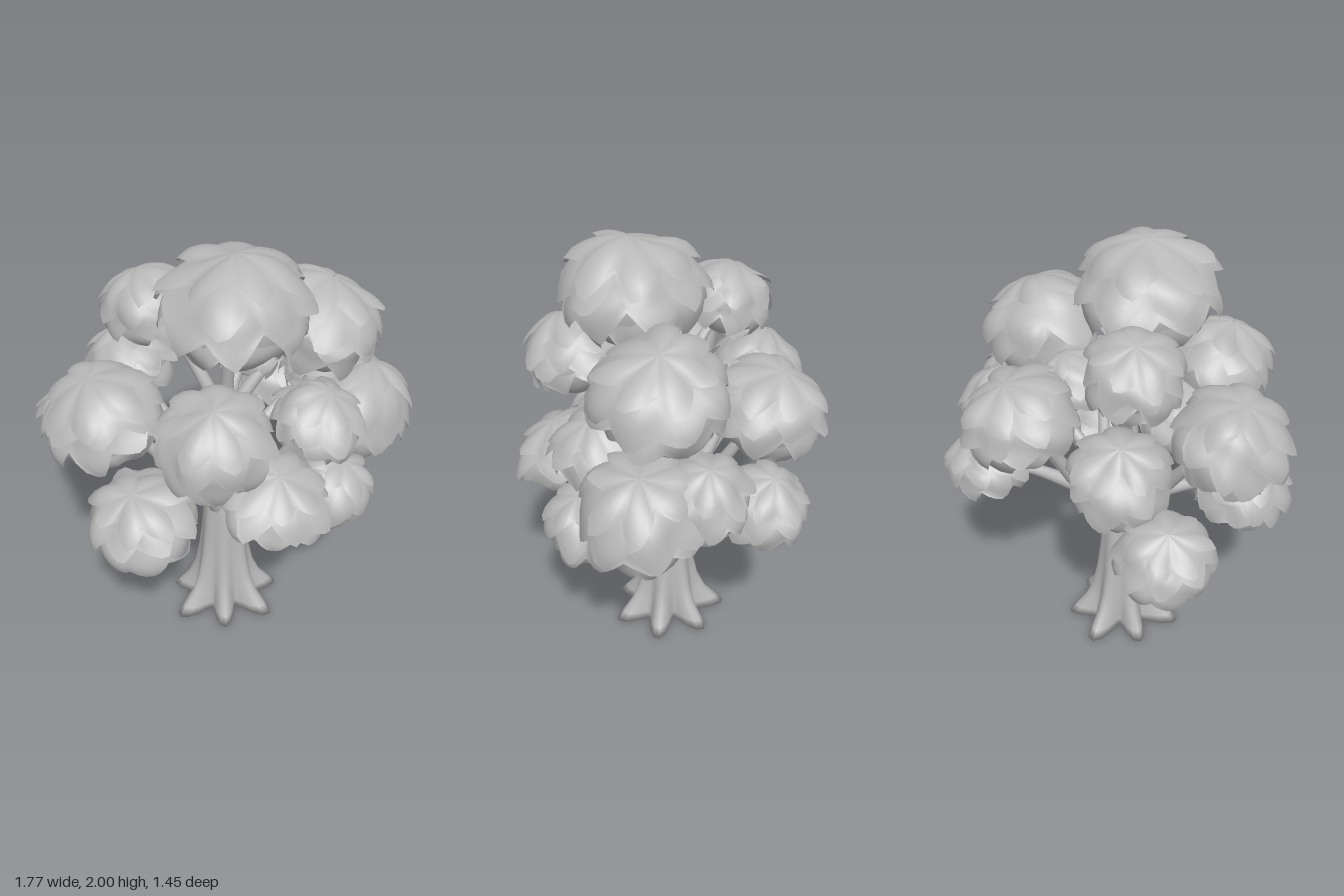
import * as THREE from 'three';

const grey = new THREE.MeshStandardMaterial({ color: 0xb8b8b8, side: THREE.DoubleSide });
grey.name = 'plain grey';

// Small seeded random function
let seed = 7;
const rnd = () => {
  seed = (seed * 16807) % 2147483647;
  return seed / 2147483647;
};

// Smooth skin over rows of rings; point(row 0..1, turn 0..1) gives a Vector3
function skin(rows, cols, point) {
  const pos = [], index = [];
  for (let i = 0; i <= rows; i++)
    for (let j = 0; j < cols; j++) pos.push(...point(i / rows, j / cols).toArray());
  for (let i = 0; i < rows; i++)
    for (let j = 0; j < cols; j++) {
      const a = i * cols + j, b = i * cols + (j + 1) % cols;
      index.push(a, a + cols, b, b, a + cols, b + cols);
    }
  const g = new THREE.BufferGeometry();
  g.setAttribute('position', new THREE.Float32BufferAttribute(pos, 3));
  g.setIndex(index);
  g.computeVertexNormals();
  return g;
}

function add(parent, geometry, name) {
  const m = new THREE.Mesh(geometry, grey);
  m.name = name;
  parent.add(m);
}

// Low bumps shared by all the layers of one clump
const bump = (v, k) => 1 + 0.05 * Math.sin(4 * v.x + k) * Math.cos(3.5 * v.z + k * 2)
  + 0.03 * Math.sin(6 * v.y + 5 * v.z + k);

// One tier of overlapping leaves: a band from polar angle "from" to "edge" with pointed tips
function leafTier(radius, from, edge, leaves, flare, k) {
  const turn0 = rnd() * 6;
  const list = (low, high) => Array.from({ length: leaves }, () => low + rnd() * (high - low));
  const len = list(0.25, 0.6), lift = list(0, 0.1), drop = list(-0.2, 0.2), side = list(0.35, 0.65);
  return skin(8, leaves * 6, (t, u) => {
    const n = Math.floor(u * leaves + 1e-6), f = u * leaves - n;
    const next = (n + 1) % leaves;
    const tip = f < side[n] ? f / side[n] : (1 - f) / (1 - side[n]);
    const polar = from + t * (edge - from)
      + t ** 2 * (len[n] * tip - 0.16 + drop[n] * (1 - f) + drop[next] * f);
    const r = radius + t ** 2 * (flare + lift[n] * tip) - 0.06 * t * (1 - Math.sin(f * Math.PI));
    const a = turn0 + u * Math.PI * 2;
    const v = new THREE.Vector3(
      Math.sin(polar) * Math.cos(a), Math.cos(polar), Math.sin(polar) * Math.sin(a));
    return v.multiplyScalar(r * bump(v, k));
  });
}

// Rounded clump of leaves, leaning away from the trunk
function foliage(parent, [x, y, z, w, h], k) {
  const clump = new THREE.Group();
  clump.name = 'foliageClump';
  clump.position.set(x, y, z);
  const far = Math.hypot(x, z);
  if (far > 0.2) {
    clump.quaternion.setFromAxisAngle(new THREE.Vector3(z / far, 0, -x / far), 0.3);
  }
  clump.scale.set(w, h, w);
  const core = new THREE.SphereGeometry(1, 20, 14);
  const p = core.attributes.position;
  for (let i = 0; i < p.count; i++) {
    const v = new THREE.Vector3().fromBufferAttribute(p, i);
    v.multiplyScalar(0.84 * bump(v, k));
    p.setXYZ(i, v.x, v.y, v.z);
  }
  core.computeVertexNormals();
  add(clump, core, 'leafCore');
  add(clump, leafTier(0.98, 0.01, 0.85, 7, 0.02, k), 'upperLeaves');
  add(clump, leafTier(0.92, 0.5, 1.35, 8, 0.08, k), 'middleLeaves');
  add(clump, leafTier(0.86, 1.0, 1.75, 8, 0.13, k), 'lowerLeaves');
  add(clump, leafTier(0.82, 1.5, 2.15, 7, 0.14, k), 'hangingLeaves');
  parent.add(clump);
}

// Tapered limb along a smooth path
function limb(parent, points, r0, r1, name) {
  const curve = new THREE.CatmullRomCurve3(points);
  const rows = 10, frames = curve.computeFrenetFrames(rows);
  add(parent, skin(rows, 10, (t, u) => {
    const i = Math.round(t * rows), a = -u * Math.PI * 2, r = r0 + (r1 - r0) * t;
    return curve.getPoint(t)
      .addScaledVector(frames.normals[i], r * Math.cos(a))
      .addScaledVector(frames.binormals[i], -r * Math.sin(a));
  }), name);
}

export function createModel() {
  const tree = new THREE.Group();
  tree.name = 'tree';

  // Trunk with root lobes: height, radius, lobe depth
  const rings = [
    [0, 0.001, 0], [0, 0.21, 0.07], [0.04, 0.192, 0.055], [0.11, 0.16, 0.03],
    [0.2, 0.138, 0.014], [0.32, 0.121, 0.007], [0.45, 0.108, 0.004], [0.58, 0.098, 0.002],
    [0.68, 0.085, 0], [0.8, 0.066, 0], [0.95, 0.055, 0], [1.1, 0.045, 0], [1.25, 0.035, 0],
  ];
  add(tree, skin(rings.length - 1, 56, (t, u) => {
    const [y, r, lobe] = rings[Math.round(t * (rings.length - 1))];
    const a = -u * Math.PI * 2;
    const q = r + lobe * Math.cos(7 * a + 0.6) + lobe * 0.25 * Math.sin(3 * a);
    return new THREE.Vector3(-0.025 + q * Math.cos(a), y, -0.01 + q * Math.sin(a));
  }), 'trunk');

  // Forks reached by the main limbs, each with its clumps: x, y, z, half width, half height
  const forks = [
    { at: [-0.02, 1.2, 0], clumps: [
      [0.0, 1.755, 0.14, 0.315, 0.245], [-0.32, 1.62, -0.2, 0.205, 0.175],
      [0.41, 1.52, -0.1, 0.285, 0.23], [0.12, 1.38, -0.17, 0.17, 0.15]] },
    { at: [-0.2, 0.88, -0.16], clumps: [
      [-0.67, 1.0, -0.33, 0.205, 0.175], [-0.41, 1.24, -0.34, 0.215, 0.2]] },
    { at: [-0.19, 0.85, 0.1], clumps: [
      [-0.43, 0.88, 0.36, 0.245, 0.2], [-0.55, 1.29, 0.13, 0.26, 0.22]] },
    { at: [0.1, 0.85, -0.2], clumps: [
      [0.08, 1.33, -0.48, 0.25, 0.205], [0.31, 0.99, -0.52, 0.195, 0.175],
      [0.5, 1.13, -0.31, 0.2, 0.18]] },
    { at: [0.17, 0.78, 0.03], clumps: [
      [0.6, 1.07, -0.08, 0.275, 0.25], [0.43, 0.84, 0.22, 0.2, 0.18],
      [0.36, 1.19, 0.18, 0.21, 0.175]] },
    { at: [-0.02, 0.88, 0.15], clumps: [
      [0.12, 0.99, 0.43, 0.24, 0.165], [-0.13, 1.35, 0.47, 0.24, 0.205],
      [-0.13, 1.16, 0.22, 0.19, 0.17]] },
  ];
  let count = 0;
  for (const { at, clumps } of forks) {
    const hub = new THREE.Vector3(...at);
    const root = new THREE.Vector3(-0.025, 0.5, -0.01);
    const rise = new THREE.Vector3(hub.x * 0.35, 0.66, hub.z * 0.35);
    limb(tree, [root, rise, hub], 0.06, 0.034, 'mainLimb');
    for (const clump of clumps) {
      foliage(tree, clump, count++ * 1.7);
      const end = new THREE.Vector3(...clump);
      const bend = hub.clone().lerp(end, 0.5);
      bend.y += 0.02;
      limb(tree, [rise.clone().lerp(hub, 0.85), bend, end], 0.036, 0.015, 'branch');
    }
  }
  return tree;
}
